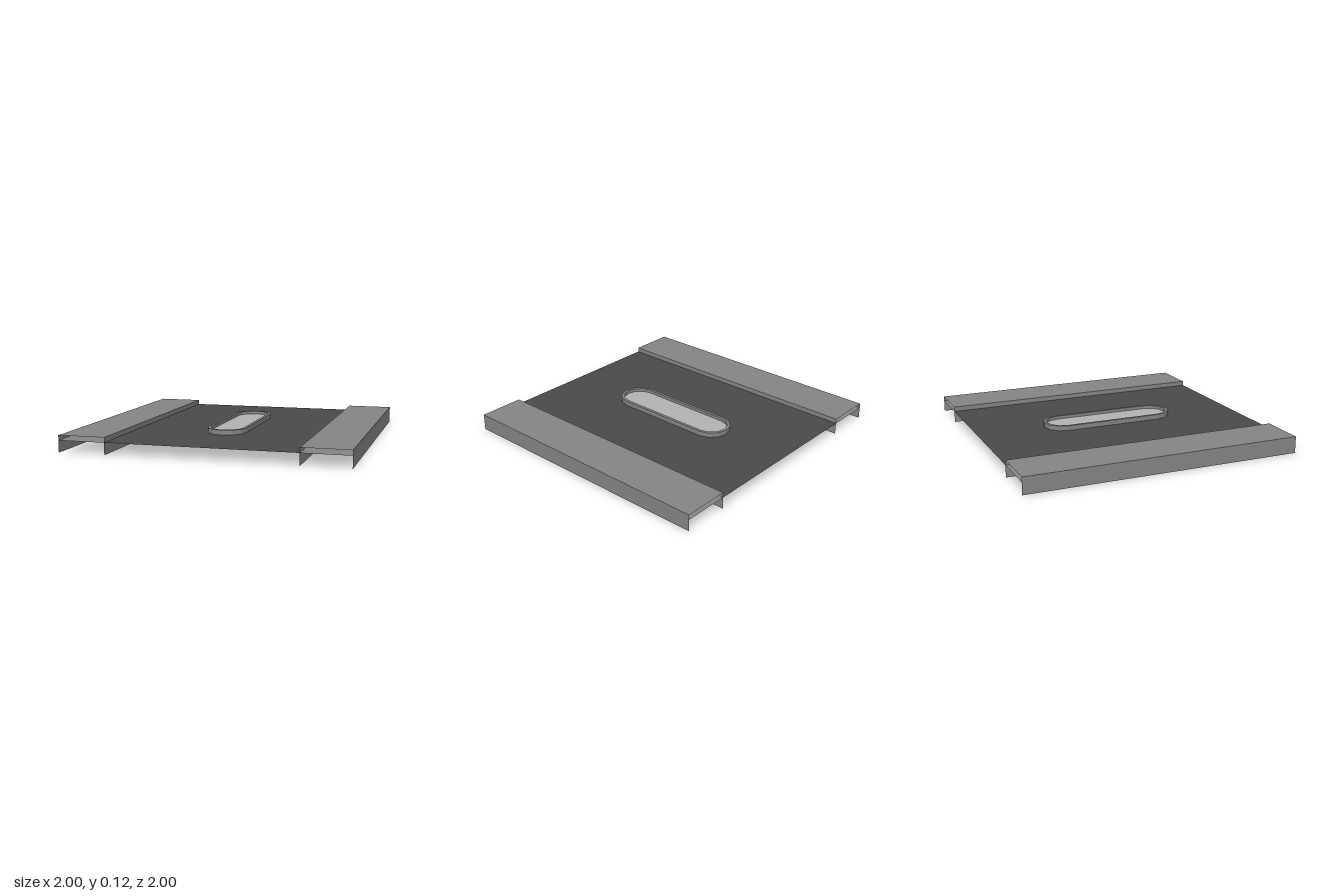
import * as THREE from 'three';

const TOP = 0.12, DECK = 0.085, CURB = 0.665;

const mat = (name, color) => new THREE.MeshStandardMaterial({ name, color, side: THREE.DoubleSide, flatShading: true });

// Points of a stadium outline: straight sides, faceted half-round ends
function stadium(radius, straight = 0.357, steps = 6) {
  const pts = [];
  for (const end of [0, 1]) {
    for (let i = 0; i <= steps; i++) {
      const a = Math.PI * (end + i / steps);
      pts.push(new THREE.Vector2(Math.cos(a) * radius, Math.sin(a) * radius + (end ? -straight : straight)));
    }
  }
  return pts;
}

export function createModel() {
  const model = new THREE.Group();
  model.name = 'roadSection';
  const concrete = mat('concrete grey', 0x868686);
  const asphalt = mat('asphalt grey', 0x4a4a4a);
  const paving = mat('pale paving', 0xb4b4b4);

  const add = (name, geometry, material, parent = model) => {
    const mesh = new THREE.Mesh(geometry, material);
    mesh.name = name;
    parent.add(mesh);
    return mesh;
  };
  // Flat shapes are drawn in x/y, then laid down facing up
  const flat = (shape, y) => new THREE.ShapeGeometry(shape).rotateX(-Math.PI / 2).translate(0, y, 0);

  const outer = stadium(0.14), inner = stadium(0.118);

  // Road deck with an opening for the island
  const deck = new THREE.Shape([[-CURB, -1], [CURB, -1], [CURB, 1], [-CURB, 1]].map(p => new THREE.Vector2(...p)));
  deck.holes.push(new THREE.Path(outer));
  add('roadDeck', flat(deck, DECK), asphalt);

  // Hollow pavements, open at both ends, with walls reaching the ground
  for (const side of [1, -1]) {
    const pavement = new THREE.Group();
    pavement.name = side > 0 ? 'leftPavement' : 'rightPavement';
    const mid = side * (1 + CURB) / 2;
    for (const [name, y, dir] of [['pavementTop', TOP, -1], ['pavementUnderside', DECK, 1]]) {
      add(name, new THREE.PlaneGeometry(1 - CURB, 2).rotateX(dir * Math.PI / 2).translate(mid, y, 0), concrete, pavement);
    }
    for (const [name, x, dir] of [['outerWall', side, side], ['curbWall', side * CURB, -side]]) {
      add(name, new THREE.PlaneGeometry(2, TOP).rotateY(dir * Math.PI / 2).translate(x, TOP / 2, 0), concrete, pavement);
    }
    model.add(pavement);
  }

  // Central island: raised rim, sunken paving and closed underside
  const island = new THREE.Group();
  island.name = 'trafficIsland';
  const rim = new THREE.Shape(outer);
  rim.holes.push(new THREE.Path(inner));
  const rimGeometry = new THREE.ExtrudeGeometry(rim, { depth: TOP - DECK, bevelEnabled: false });
  add('islandRim', rimGeometry.rotateX(-Math.PI / 2).translate(0, DECK, 0), concrete, island);
  add('islandPaving', flat(new THREE.Shape(inner), 0.097), paving, island);
  add('islandUnderside', flat(new THREE.Shape(inner), DECK), concrete, island);
  model.add(island);

  return model;
}
